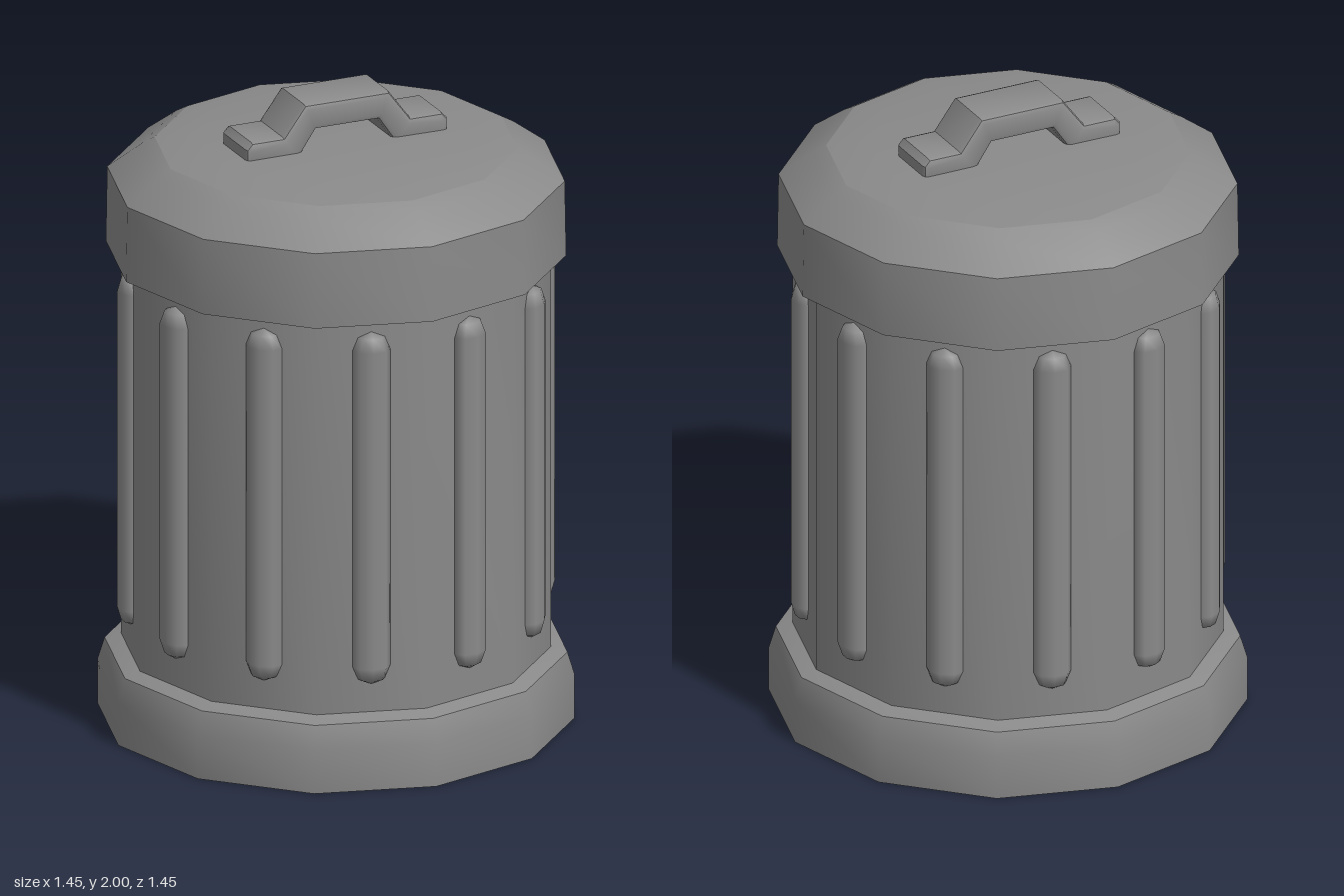
import * as THREE from 'three';
import { toCreasedNormals } from 'three/addons/utils/BufferGeometryUtils.js';

const SIDES = 12;
const material = new THREE.MeshStandardMaterial({ color: 0x8a8a8a });

function addMesh(parent, name, geometry) {
  const mesh = new THREE.Mesh(geometry, material);
  mesh.name = name;
  parent.add(mesh);
  return mesh;
}

// Twelve-sided turned part, smooth around and sharp at its rims
function turned(profile) {
  const points = profile.map(([r, y]) => new THREE.Vector2(r, y));
  return toCreasedNormals(new THREE.LatheGeometry(points, SIDES), 0.65);
}

export function createModel() {
  const can = new THREE.Group();
  can.name = 'trashCan';

  // Foot band with a closed bottom, chamfered shoulder and ledge
  addMesh(can, 'base', turned([
    [0, 0], [0.724, 0], [0.724, 0.14], [0.702, 0.212], [0.645, 0.23],
  ]));

  // Straight wall running up inside the lid
  addMesh(can, 'body', turned([[0.652, 0.2], [0.652, 1.72]]));

  // Lid: thin hanging rim with a sloped dome, then a flatter crown
  const lid = new THREE.Group();
  lid.name = 'lid';
  can.add(lid);
  addMesh(lid, 'lidRim', turned([
    [0.64, 1.72], [0.675, 1.72], [0.675, 1.49], [0.698, 1.49],
    [0.694, 1.73], [0.59, 1.807], [0.55, 1.83],
  ]));
  addMesh(lid, 'lidCrown', turned([[0.55, 1.83], [0.42, 1.85], [0, 1.852]]));

  // One raised rib in the middle of each wall facet
  const ribs = new THREE.Group();
  ribs.name = 'ribs';
  can.add(ribs);
  const ribGeometry = new THREE.CapsuleGeometry(0.058, 1.019, 2, 8);
  ribGeometry.scale(1, 1, 0.7);
  const apothem = 0.652 * Math.cos(Math.PI / SIDES);
  for (let i = 0; i < SIDES; i++) {
    const angle = ((i + 0.5) / SIDES) * Math.PI * 2;
    const rib = addMesh(ribs, 'rib', ribGeometry);
    rib.position.set(Math.sin(angle) * apothem, 0.885, Math.cos(angle) * apothem);
    rib.rotation.y = angle;
  }

  // Bent strap handle: half outline mirrored, then extruded with a rounded bevel
  const bevel = 0.016;
  const outer = [[0.319, 1.845], [0.319, 1.878], [0.309, 1.889], [0.203, 1.889], [0.132, 1.984]];
  const inner = [[-0.171, 1.845], [-0.112, 1.932]];
  const mirror = (list) => list.map(([x, y]) => [-x, y]).reverse();
  const outline = [...outer, ...mirror(outer), ...inner, ...mirror(inner)];
  const shape = new THREE.Shape(outline.map(([x, y]) => new THREE.Vector2(x, y)));
  const strap = new THREE.ExtrudeGeometry(shape, {
    depth: 0.186 - 2 * bevel, bevelEnabled: true,
    bevelThickness: bevel, bevelSize: bevel, bevelSegments: 2,
  });
  strap.translate(0, 0, -0.1 + bevel);
  addMesh(can, 'handle', toCreasedNormals(strap, 0.6));

  return can;
}
